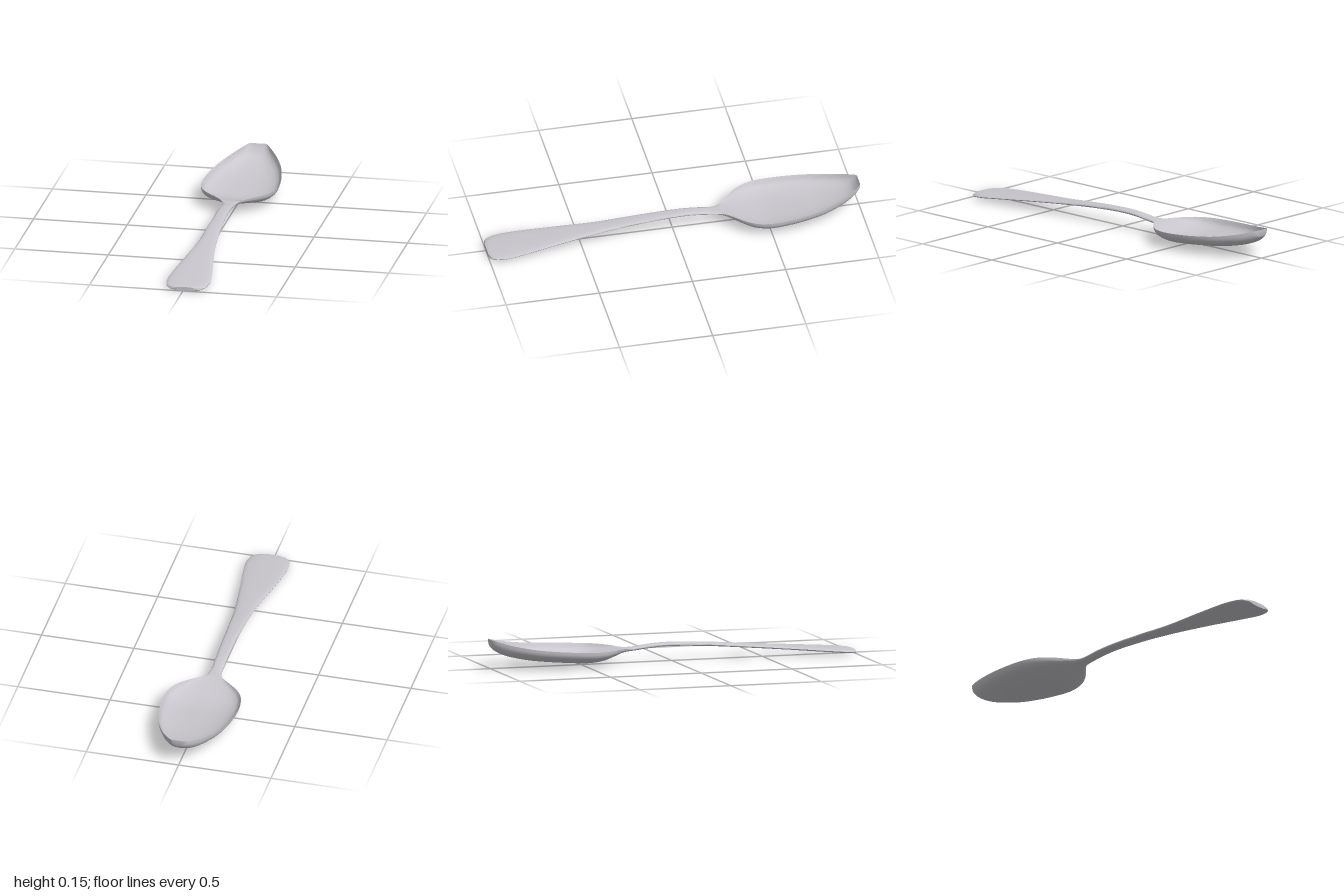
import * as THREE from 'three';
import { toCreasedNormals } from 'three/addons/utils/BufferGeometryUtils.js';

// Stations from the handle end to the bowl tip:
// z, centre x, half width, rim y, rise of the upper skin, drop of the lower skin
const STATIONS = [
  [1.0, 0.01, 0.06, 0.013, 0.010, 0.012],
  [0.99, 0.01, 0.085, 0.014, 0.011, 0.013],
  [0.96, 0.01, 0.106, 0.017, 0.011, 0.013],
  [0.9, 0.01, 0.115, 0.022, 0.011, 0.012],
  [0.8, 0.008, 0.107, 0.031, 0.010, 0.011],
  [0.6, 0.006, 0.078, 0.048, 0.010, 0.010],
  [0.4, 0.006, 0.051, 0.064, 0.010, 0.010],
  [0.2, 0.004, 0.039, 0.080, 0.010, 0.010],
  [0.0, 0.002, 0.033, 0.089, 0.010, 0.010],
  [-0.12, 0, 0.031, 0.085, 0.010, 0.011],
  [-0.21, 0, 0.032, 0.076, 0.007, 0.012],
  [-0.26, 0, 0.046, 0.078, 0.001, 0.018],
  [-0.3, 0, 0.082, 0.083, -0.012, 0.030],
  [-0.36, 0, 0.146, 0.086, -0.032, 0.048],
  [-0.42, 0, 0.186, 0.087, -0.049, 0.064],
  [-0.5, 0, 0.204, 0.089, -0.059, 0.073],
  [-0.6, 0, 0.201, 0.094, -0.058, 0.072],
  [-0.7, 0, 0.186, 0.101, -0.057, 0.071],
  [-0.8, 0, 0.159, 0.111, -0.056, 0.070],
  [-0.9, 0, 0.114, 0.128, -0.052, 0.067],
  [-0.96, 0, 0.076, 0.143, -0.042, 0.059],
  [-0.99, 0, 0.052, 0.152, -0.018, 0.045],
  [-1.0, 0, 0.038, 0.155, -0.001, 0.036],
];

const AROUND = 48;
const STEPS = 4;
const curveThrough = (from) => new THREE.CatmullRomCurve3(
  STATIONS.map((s) => new THREE.Vector3(s[from], s[from + 1], s[from + 2])), false, 'catmullrom', 0.5);

// Rounded cross-section swept along the stations; a negative rise hollows the bowl
function loftGeometry() {
  const outline = curveThrough(0), heights = curveThrough(3);
  const rings = (STATIONS.length - 1) * STEPS;
  const positions = [], index = [];
  const squash = (v) => Math.sign(v) * Math.abs(v) ** (2 / 2.6);
  for (let i = 0; i <= rings; i++) {
    const { x: z, y: cx, z: half } = outline.getPoint(i / rings);
    const { x: rim, y: rise, z: drop } = heights.getPoint(i / rings);
    for (let j = 0; j < AROUND; j++) {
      const a = (j / AROUND) * Math.PI * 2;
      const upper = j > 0 && j < AROUND / 2;
      const across = squash(Math.cos(a)) * (upper ? 0.97 : 1);
      const height = j % (AROUND / 2) === 0 ? 0 : squash(Math.sin(a));
      positions.push(cx + half * across, rim + height * (upper ? rise : drop), z);
    }
  }
  // Skin
  for (let i = 0; i < rings; i++) {
    for (let j = 0; j < AROUND; j++) {
      const k = (j + 1) % AROUND;
      const a = i * AROUND + j, b = i * AROUND + k;
      index.push(a, a + AROUND, b, b, a + AROUND, b + AROUND);
    }
  }
  // End caps, joining the upper skin to the lower skin
  const last = rings * AROUND;
  for (let j = 0; j < AROUND / 2; j++) {
    const a = j, b = j + 1, c = AROUND - j - 1, d = (AROUND - j) % AROUND;
    index.push(a, b, c, a, c, d);
    index.push(last + a, last + c, last + b, last + a, last + d, last + c);
  }
  const geometry = new THREE.BufferGeometry();
  geometry.setAttribute('position', new THREE.Float32BufferAttribute(positions, 3));
  geometry.setIndex(index);
  return toCreasedNormals(geometry, 0.9);
}

export function createModel() {
  const steel = new THREE.MeshStandardMaterial({ color: 0xc9c7cd });
  steel.name = 'steel';
  const group = new THREE.Group();
  group.name = 'spoon';
  const body = new THREE.Mesh(loftGeometry(), steel);
  body.name = 'handleAndBowl';
  group.add(body);
  return group;
}
